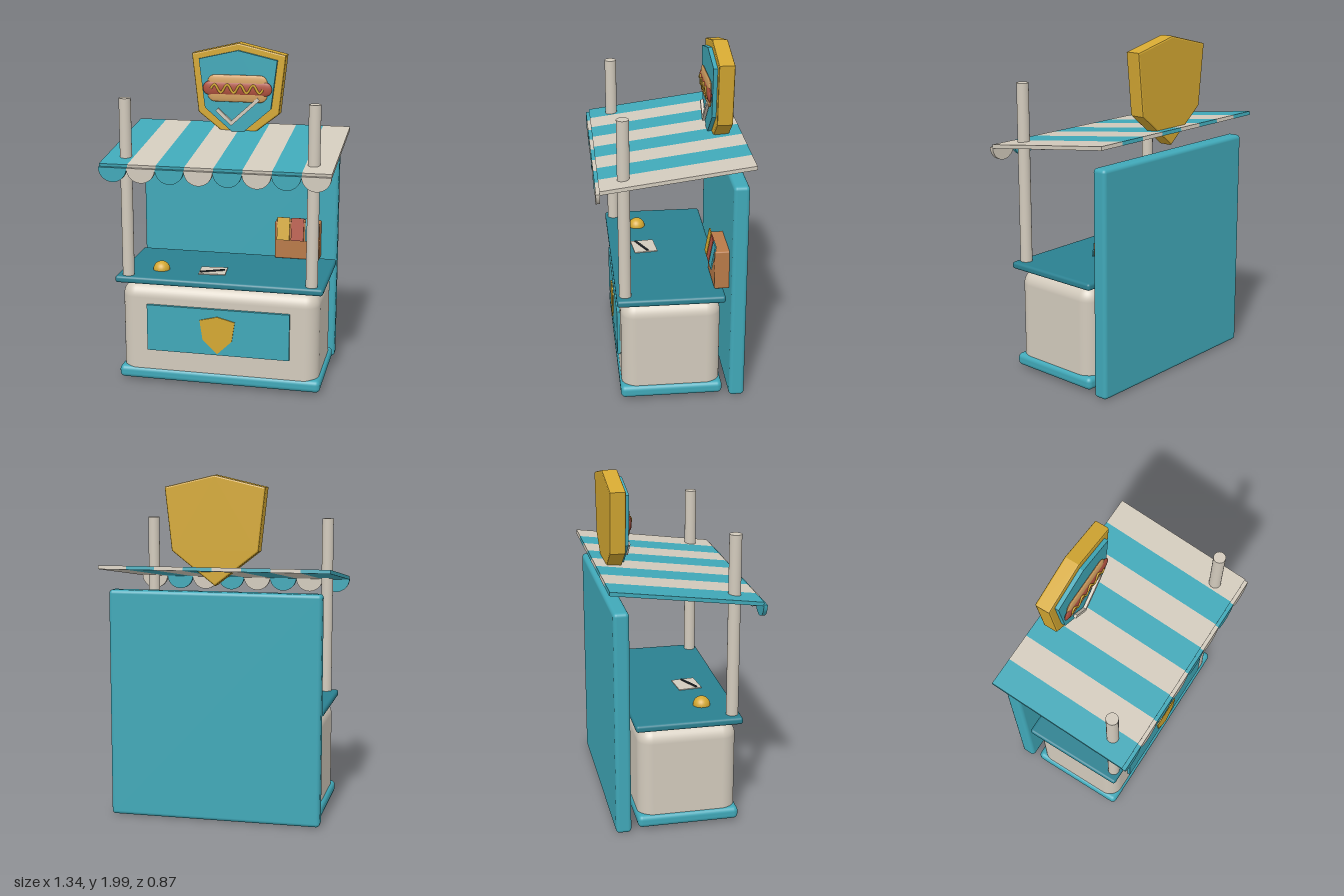
import * as THREE from 'three';
import { RoundedBoxGeometry } from 'three/addons/geometries/RoundedBoxGeometry.js';

const mat = (name, color) => {
  const m = new THREE.MeshStandardMaterial({ color });
  m.name = name;
  return m;
};

export function createModel() {
  const teal = mat('teal', 0x40a8b8);
  const darkTeal = mat('dark teal', 0x2a8090);
  const cream = mat('cream', 0xd2cabc);
  const gold = mat('gold', 0xd4a832);
  const brown = mat('crate brown', 0xb87a48);
  const bunTan = mat('bun tan', 0xd6a262);
  const red = mat('sausage red', 0xb2523f);
  const dark = mat('dark grey', 0x2b3236);

  const model = new THREE.Group();
  model.name = 'foodStall';

  const add = (name, geometry, material, x = 0, y = 0, z = 0, parent = model) => {
    const mesh = new THREE.Mesh(geometry, material);
    mesh.name = name;
    mesh.position.set(x, y, z);
    parent.add(mesh);
    return mesh;
  };
  const box = (w, h, d) => new THREE.BoxGeometry(w, h, d);
  const rounded = (w, h, d, r, seg = 4) => new RoundedBoxGeometry(w, h, d, seg, r);

  // Symmetric shield plate; depth runs forward from z = 0
  const shield = (top, cornerX, cornerY, sideX, sideY, bottom, depth, bevel = 0) => {
    const s = new THREE.Shape([
      [0, top], [-cornerX, cornerY], [-sideX, sideY],
      [0, bottom], [sideX, sideY], [cornerX, cornerY],
    ].map(([x, y]) => new THREE.Vector2(x, y)));
    const g = new THREE.ExtrudeGeometry(s, {
      depth: depth - 2 * bevel, bevelEnabled: bevel > 0,
      bevelSize: bevel, bevelOffset: -bevel, bevelThickness: bevel, bevelSegments: 2,
    });
    return g.translate(0, 0, bevel);
  };

  // Counter cabinet, plinth trim, worktop and rear wall
  add('cabinet', rounded(1.19, 0.615, 0.575, 0.085, 6), cream, 0, 0.32, 0.018);
  add('plinthTrim', rounded(1.225, 0.075, 0.595, 0.028), teal, 0, 0.062, 0.018);
  add('worktop', rounded(1.245, 0.042, 0.62, 0.016), darkTeal, 0, 0.654, 0.02);
  add('rearWall', rounded(1.24, 1.335, 0.09, 0.022), teal, 0, 0.677, -0.365);

  // Front panel with its emblem
  add('frontPanel', box(0.86, 0.285, 0.02), teal, 0, 0.363, 0.313);
  add('frontEmblem', shield(0.462, 0.106, 0.435, 0.088, 0.315, 0.23, 0.007), gold, 0, 0, 0.323);

  // Awning posts
  for (const side of [-1, 1]) {
    add(side > 0 ? 'leftPost' : 'rightPost',
      new THREE.CylinderGeometry(0.035, 0.035, 1.07, 24), cream, side * 0.55, 1.2, 0.28);
  }

  // Striped awning with scalloped valance
  const awning = new THREE.Group();
  awning.name = 'awning';
  model.add(awning);
  const pitch = 1.34 / 8;
  const scallop = new THREE.Shape();
  scallop.absarc(0, 0, pitch / 2, Math.PI, Math.PI * 2, false);
  const scallopGeometry = new THREE.ExtrudeGeometry(scallop,
    { depth: 0.022, bevelEnabled: false, curveSegments: 20 });
  for (let i = 0; i < 8; i++) {
    const x = (i - 3.5) * pitch;
    const colour = i % 2 ? cream : teal;
    const stripe = add('awningStripe', box(pitch, 0.022, 0.858), colour, x, 1.42, -0.01, awning);
    stripe.rotation.x = 0.131;
    add('valanceScallop', scallopGeometry, colour, x, 1.358, 0.414, awning);
  }

  // Shield sign
  const sign = new THREE.Group();
  sign.name = 'sign';
  model.add(sign);
  add('signFrame', shield(2, 0.292, 1.932, 0.252, 1.572, 1.375, 0.092, 0.01), gold, 0, 0, -0.366, sign);
  add('signFace', shield(1.957, 0.242, 1.902, 0.205, 1.605, 1.43, 0.026), teal, 0, 0, -0.276, sign);

  // Flattened hot dog on the sign
  const roll = (name, halfLength, r, y, z, halfDepth, material) => {
    const g = new THREE.CapsuleGeometry(r, 2 * (halfLength - r), 8, 20);
    g.rotateZ(Math.PI / 2).scale(1, 1, halfDepth / r);
    add(name, g, material, 0, y, z, sign);
  };
  roll('upperBun', 0.185, 0.046, 1.765, -0.243, 0.011, bunTan);
  roll('lowerBun', 0.185, 0.046, 1.692, -0.243, 0.011, bunTan);
  roll('sausage', 0.214, 0.043, 1.728, -0.239, 0.012, red);
  const wave = [];
  for (let i = 0; i <= 32; i++) {
    const t = i / 32;
    wave.push(new THREE.Vector3(-0.16 + 0.32 * t, 1.728 + 0.024 * Math.sin(t * Math.PI * 8), -0.228));
  }
  add('mustard', new THREE.TubeGeometry(new THREE.CatmullRomCurve3(wave), 96, 0.008, 6), gold, 0, 0, 0, sign);

  // Crossed utensils under the hot dog
  for (const [x0, y0, x1, y1] of [[-0.125, 1.598, -0.03, 1.51], [-0.042, 1.51, 0.132, 1.668]]) {
    const bar = add('utensil', box(Math.hypot(x1 - x0, y1 - y0), 0.022, 0.018), cream,
      (x0 + x1) / 2, (y0 + y1) / 2, -0.236, sign);
    bar.rotation.z = Math.atan2(y1 - y0, x1 - x0);
  }

  // Items on the worktop: bell, note and pen
  add('bell', new THREE.SphereGeometry(0.051, 24, 10, 0, Math.PI * 2, 0, Math.PI / 2), gold, -0.385, 0.675, 0.14);
  const note = add('notePaper', box(0.16, 0.005, 0.14), cream, -0.07, 0.678, 0.12);
  note.rotation.y = 0.1;
  const pen = add('pen', box(0.15, 0.007, 0.012), dark, -0.07, 0.684, 0.135);
  pen.rotation.y = 0.45;

  // Condiment crate with three leaning packets
  add('crate', rounded(0.28, 0.235, 0.088, 0.008, 2), brown, 0.381, 0.792, -0.279);
  [gold, red, teal].forEach((colour, i) => {
    const packet = add('packet', box(0.078, 0.142, 0.008), colour, 0.296 + i * 0.088, 0.867, -0.229);
    packet.rotation.x = -0.18;
  });

  return model;
}
